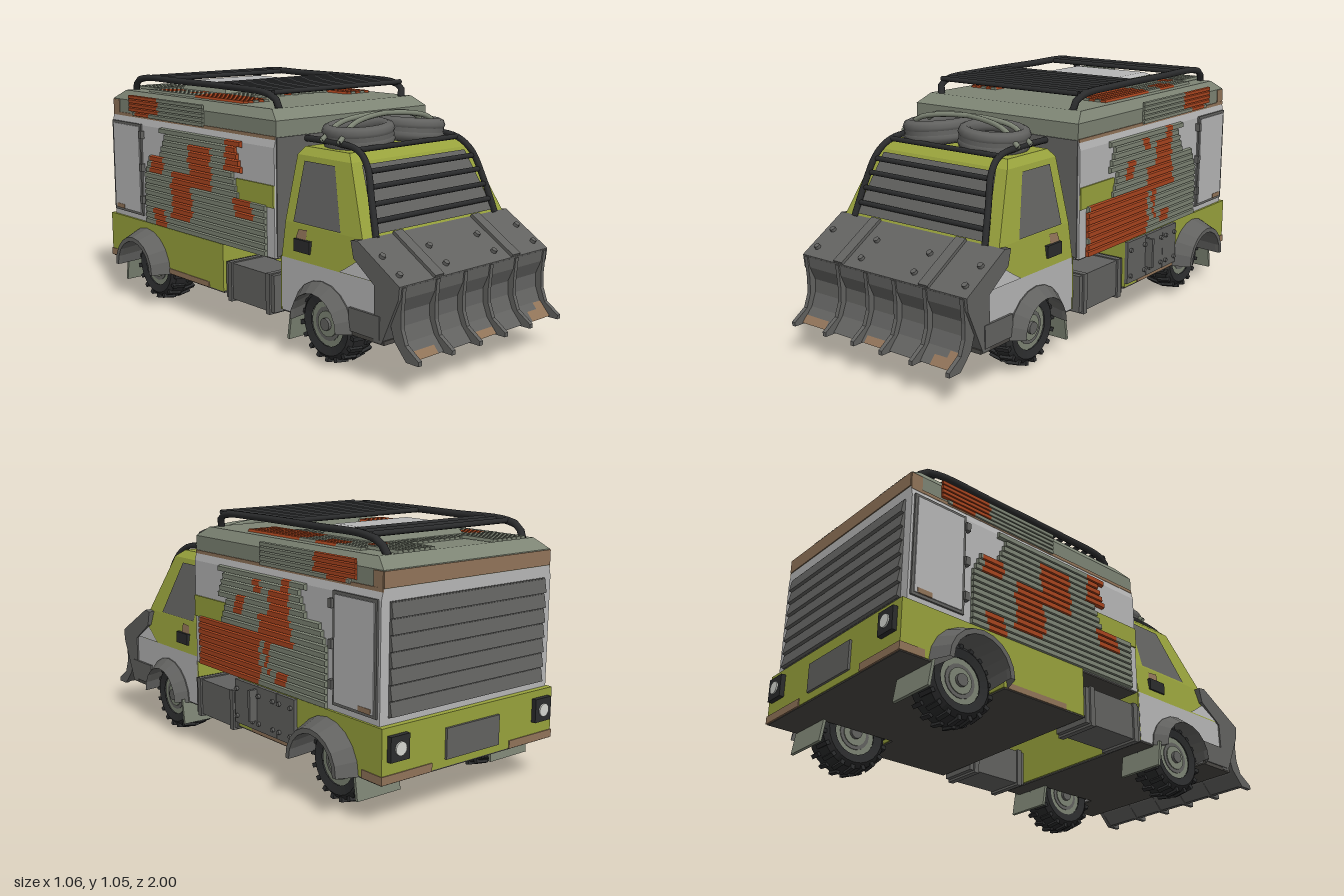
import * as THREE from 'three';
import { mergeGeometries } from 'three/addons/utils/BufferGeometryUtils.js';

export function createModel() {
  const root = new THREE.Group();
  root.name = 'armouredVan';
  const paint = (name, color) => Object.assign(new THREE.MeshStandardMaterial({ color, side: THREE.DoubleSide }), { name });
  const steel = paint('dark steel', 0x626260), black = paint('black rubber and tube', 0x2b2c2d);
  const green = paint('olive green', 0x98a23c), light = paint('light grey', 0xb6b6b6);
  const sage = paint('sage grey', 0x7d8474), rust = paint('rust', 0xa8441e);
  const brown = paint('bare brown', 0x917459), lamp = paint('lamp white', 0xd6d8d2);
  const under = paint('underbody grey', 0x4a4844);

  const add = (name, geo, mat, x = 0, y = 0, z = 0, parent = root) => {
    const m = new THREE.Mesh(geo, mat);
    m.name = name;
    m.position.set(x, y, z);
    parent.add(m);
    return m;
  };
  // box given by its limits
  const box = (name, mat, x0, x1, y0, y1, z0, z1, parent = root) =>
    add(name, new THREE.BoxGeometry(x1 - x0, y1 - y0, z1 - z0), mat, (x0 + x1) / 2, (y0 + y1) / 2, (z0 + z1) / 2, parent);
  const flat = (g) => { const f = g.index ? g.toNonIndexed() : g; f.computeVertexNormals(); return f; };
  // (z, y) outline swept from x0 to x1
  const sweep = (name, mat, shape, x0, x1) => {
    const s = Array.isArray(shape) ? new THREE.Shape(shape.map((p) => new THREE.Vector2(...p))) : shape;
    const g = new THREE.ExtrudeGeometry(s, { depth: x1 - x0, bevelEnabled: false, curveSegments: 16 });
    return add(name, g.rotateY(-Math.PI / 2).translate(x1, 0, 0), mat);
  };
  // stacked rectangles [y, halfWidth, zBack, zFront]
  const loft = (name, mat, secs) => {
    const pos = [], idx = [];
    secs.forEach(([y, w, a, b]) => pos.push(-w, y, b, w, y, b, w, y, a, -w, y, a));
    for (let i = 0; i < secs.length - 1; i++) for (let k = 0; k < 4; k++) {
      const p = i * 4 + k, q = i * 4 + (k + 1) % 4;
      idx.push(p, q, q + 4, p, q + 4, p + 4);
    }
    const t = (secs.length - 1) * 4;
    idx.push(t, t + 1, t + 2, t, t + 2, t + 3, 0, 2, 1, 0, 3, 2);
    const g = new THREE.BufferGeometry();
    g.setAttribute('position', new THREE.Float32BufferAttribute(pos, 3));
    g.setIndex(idx);
    return add(name, flat(g), mat);
  };
  const quad = (name, mat, pts) => {
    const g = new THREE.BufferGeometry();
    g.setAttribute('position', new THREE.Float32BufferAttribute(pts.flat(), 3));
    g.setIndex([0, 1, 2, 0, 2, 3]);
    return add(name, flat(g), mat);
  };
  const tube = (name, mat, pts, r = 0.013) => {
    const c = new THREE.CatmullRomCurve3(pts.map((p) => new THREE.Vector3(...p)));
    return add(name, new THREE.TubeGeometry(c, pts.length > 2 ? 28 : 1, r, 8), mat);
  };
  // corrugated sheet: rows [u, z0, z1], rust where a patch [u0, u1, z0, z1] covers
  const ridge = flat(new THREE.ExtrudeGeometry(new THREE.Shape([[-0.5, 0], [0.5, 0], [0.36, 1], [-0.36, 1]]
    .map((p) => new THREE.Vector2(...p))), { depth: 1, bevelEnabled: false }));
  const corrugated = (name, side, base, pitch, high, rows, patches) => {
    const bins = [[], []], step = 0.01;
    rows.forEach(([u, z0, z1], i) => {
      const jag = ((i * 7) % 5 - 2) * 0.005;
      const isRust = (z) => patches.some((p) => u > p[0] && u < p[1] && z + jag > p[2] && z + jag < p[3]) ? 1 : 0;
      for (let a = z0, b; a < z1 - 0.001; a = b) {
        const c = isRust(a + step / 2);
        for (b = a + step; b < z1 - 0.001 && isRust(b + step / 2) === c;) b += step;
        b = Math.min(b, z1);
        const g = ridge.clone().scale(pitch, high, b - a);
        if (side) g.rotateZ(-side * Math.PI / 2).translate(side * base, u, a);
        else g.translate(u, base, a);
        bins[c].push(g);
      }
    });
    bins.forEach((b, c) => b.length && add(name + (c ? 'Rust' : ''), mergeGeometries(b), c ? rust : sage));
  };
  const rows = (u0, u1, pitch, ends) => Array.from({ length: Math.round((u1 - u0) / pitch) }, (_, i) => {
    const u = u0 + (i + 0.5) * pitch;
    return [u, ...ends(u, i)];
  });

  // cab
  const archSide = (z0, z1, y0, y1, c, r) => {
    const s = new THREE.Shape();
    s.moveTo(z0, y0); s.lineTo(c - r, y0); s.absarc(c, y0, r, Math.PI, 0, true);
    s.lineTo(z1, y0); s.lineTo(z1, y1); s.lineTo(z0, y1); s.closePath();
    return s;
  };
  sweep('cabLower', light, archSide(0.265, 0.8, 0.17, 0.39, 0.505, 0.155), -0.425, 0.425);
  box('cabFloor', under, -0.26, 0.26, 0.164, 0.36, 0.27, 0.79);
  box('cabSill', under, -0.42, 0.42, 0.164, 0.172, 0.268, 0.35);
  box('cabBackPanel', green, -0.425, 0.425, 0.17, 0.39, 0.258, 0.264);
  loft('cabUpper', green, [[0.39, 0.425, 0.265, 0.8], [0.53, 0.405, 0.265, 0.7], [0.79, 0.34, 0.265, 0.57], [0.82, 0.31, 0.28, 0.53]]);
  quad('windscreen', steel, [[-0.345, 0.54, 0.702], [0.345, 0.54, 0.702], [0.295, 0.78, 0.582], [-0.295, 0.78, 0.582]]);
  const skin = (y) => 0.405 - (y - 0.53) * (y > 0.53 ? 0.25 : 0.143) + 0.004;
  for (const s of [1, -1]) {
    const p = (z, y) => [s * skin(y), y, z];
    quad('sideWindow', steel, [p(0.585, 0.535), p(0.316, 0.535), p(0.316, 0.77), p(0.49, 0.77)]);
    quad('lowerPaint', light, [p(0.79, 0.392), p(0.6, 0.392), p(0.63, 0.41), p(0.72, 0.47)]);
    quad('handleWear', brown, [p(0.4, 0.475), p(0.34, 0.475), p(0.35, 0.51), p(0.4, 0.515)]);
    box('doorHandle', black, s * 0.42 - 0.008, s * 0.42 + 0.008, 0.425, 0.475, 0.34, 0.43);
  }

  // armoured bonnet, cheeks and bumper
  sweep('bonnetArmour', steel, [[0.665, 0.525], [0.7, 0.53], [0.915, 0.4], [0.91, 0.35], [0.83, 0.17], [0.79, 0.17], [0.79, 0.38], [0.68, 0.46]], -0.432, 0.432);
  box('bumper', steel, -0.435, 0.435, 0.18, 0.27, 0.66, 0.82);
  box('bumperBottom', under, -0.43, 0.43, 0.164, 0.18, 0.665, 0.84);
  const slope = Math.atan2(0.13, 0.215);
  const onBonnet = (m, x, t) => { m.position.set(x, 0.53 - 0.13 * t, 0.7 + 0.215 * t); m.rotation.x = slope; };
  for (const s of [1, -1]) {
    onBonnet(add('bonnetStrip', new THREE.BoxGeometry(0.048, 0.025, 0.25), steel), s * 0.225, 0.5);
    for (const x of [0.14, 0.39]) for (const t of [0.4, 0.8])
      onBonnet(add('bonnetBolt', new THREE.CylinderGeometry(0.012, 0.014, 0.024, 8), steel), s * x, t);
  }

  // plough blade with ribs
  sweep('ploughBlade', steel, [[0.915, 0.395], [0.885, 0.3], [0.888, 0.24], [0.91, 0.185], [0.96, 0.13], [0.94, 0.13], [0.89, 0.18], [0.868, 0.24], [0.868, 0.3], [0.895, 0.395]], -0.41, 0.41);
  for (const x of [-0.41, -0.23, -0.075, 0.075, 0.23, 0.41])
    sweep('bladeRib', steel, [[0.92, 0.395], [0.912, 0.3], [0.914, 0.24], [0.935, 0.185], [1, 0.142], [1, 0.125], [0.94, 0.125], [0.88, 0.19], [0.86, 0.25], [0.89, 0.395]], x - 0.009, x + 0.009);
  for (const [a, b, t] of [[-0.4, -0.27, 0.5], [-0.05, 0.06, 0.45], [0.29, 0.35, 0.6], [0.35, 0.4, 1]])
    quad('bladeWear', brown, [[a, 0.131, 0.963], [b, 0.131, 0.963], [b, 0.131 + 0.054 * t, 0.963 - 0.049 * t], [a, 0.131 + 0.054 * t, 0.963 - 0.049 * t]]);

  // windscreen cage
  for (const s of [1, -1])
    tube('cageRail', black, [[s * 0.345, 0.53, 0.71], [s * 0.325, 0.66, 0.665], [s * 0.3, 0.78, 0.615], [s * 0.285, 0.83, 0.55], [s * 0.28, 0.845, 0.4], [s * 0.275, 0.845, 0.24]]);
  for (const [y, z, w] of [[0.585, 0.69, 0.335], [0.645, 0.67, 0.325], [0.705, 0.647, 0.315], [0.76, 0.623, 0.305], [0.832, 0.55, 0.29]])
    tube('cageBar', black, [[-w, y, z], [w, y, z]], 0.011);

  // wheels
  const tireGeo = flat(new THREE.LatheGeometry([[0.09, -0.06], [0.125, -0.068], [0.145, -0.05], [0.152, 0], [0.145, 0.05], [0.125, 0.068], [0.09, 0.06]]
    .map((p) => new THREE.Vector2(...p)), 24).rotateZ(-Math.PI / 2));
  const wheel = (x, z) => {
    const g = new THREE.Group();
    g.name = 'wheel';
    add('tire', tireGeo, black, 0, 0, 0, g);
    for (let i = 0; i < 36; i++) {
      const a = (i / 36) * Math.PI * 2, s = i % 2 ? 1 : -1;
      const l = add('treadLug', new THREE.BoxGeometry(0.06, 0.02, 0.017), black, s * 0.033, Math.cos(a) * 0.147, Math.sin(a) * 0.147, g);
      l.rotation.set(a, 0, -s * 0.15);
    }
    for (const [r, w, m] of [[0.092, 0.11, sage], [0.068, 0.116, steel], [0.052, 0.124, sage], [0.025, 0.15, steel]])
      add('rim', new THREE.CylinderGeometry(r, r, w, 18).rotateZ(Math.PI / 2), m, 0, 0, 0, g);
    g.position.set(x, 0.16, z);
    root.add(g);
  };
  // fenders and mud flaps
  const fender = (s, z, R, out) => {
    const g = new THREE.LatheGeometry([[R, 0.38], [R, 0.43], [R - 0.04, out], [0.13, out], [0.13, out - 0.02], [0.145, 0.38]]
      .map((p) => new THREE.Vector2(...p)), 10, Math.PI, Math.PI).rotateZ(-Math.PI / 2);
    add('fender', flat(g), steel, 0, 0.165, z).rotation.y = s > 0 ? 0 : Math.PI;
  };
  for (const s of [1, -1]) {
    wheel(s * 0.34, 0.505); wheel(s * 0.34, -0.67);
    fender(s, 0.505, 0.17, 0.48); fender(s, -0.67, 0.19, 0.53);
    for (const z of [0.345, -0.84]) {
      const f = add('mudFlap', new THREE.BoxGeometry(0.21, 0.11, 0.012), sage, s * 0.35, 0.125, z);
      f.rotation.x = 0.15;
    }
  }

  // rear chassis
  sweep('chassis', green, archSide(-0.975, -0.09, 0.17, 0.375, -0.67, 0.165), -0.45, 0.45);
  box('chassisFloor', under, -0.26, 0.26, 0.164, 0.36, -0.96, -0.095);
  box('chassisFloorFront', under, -0.448, 0.448, 0.164, 0.172, -0.5, -0.088);
  box('chassisFloorRear', under, -0.448, 0.448, 0.164, 0.172, -0.972, -0.838);
  box('sillWear', brown, -0.453, 0.453, 0.168, 0.192, -0.49, -0.19);
  for (const s of [1, -1]) {
    const c = s * 0.33;
    box('bumperWear', brown, c - 0.123, c + 0.123, 0.168, 0.2, -0.979, -0.87);
  }
  box('rearStep', steel, -0.14, 0.14, 0.2, 0.32, -0.985, -0.97);
  for (const s of [1, -1]) {
    const l = new THREE.Group();
    l.name = 'rearLight';
    box('lightHousing', black, -0.045, 0.045, 0.25, 0.345, -0.995, -0.97, l);
    add('lightLens', new THREE.CylinderGeometry(0.026, 0.026, 0.01, 16).rotateX(Math.PI / 2), lamp, 0, 0.297, -0.996, l);
    l.position.x = s * 0.38;
    root.add(l);
    // fuel tank
    const t = new THREE.Group();
    t.name = 'fuelTank';
    box('tankBody', steel, -0.085, 0.085, 0.15, 0.305, -0.075, 0.24, t);
    for (const z of [-0.055, 0.195]) box('tankStrap', steel, -0.093, 0.093, 0.14, 0.31, z, z + 0.025, t);
    t.position.x = s * 0.36;
    root.add(t);
  }
  // side armour plates
  for (const [a, b] of [[-0.238, -0.088], [-0.375, -0.24], [-0.49, -0.377]]) {
    box('sideArmour', steel, 0.45, 0.465, 0.188, 0.372, a, b);
    for (const z of [a + 0.02, b - 0.02]) for (const y of [0.22, 0.335])
      add('armourBolt', new THREE.CylinderGeometry(0.009, 0.009, 0.012, 6).rotateZ(Math.PI / 2), steel, 0.47, y, z);
  }
  box('armourRib', steel, 0.455, 0.5, 0.23, 0.36, -0.245, -0.23);

  // body and roof
  loft('body', light, [[0.375, 0.44, -0.95, 0.24], [0.82, 0.44, -0.95, 0.24], [0.86, 0.43, -0.95, 0.24]]);
  loft('roof', sage, [[0.86, 0.43, -0.95, 0.24], [0.925, 0.43, -0.95, 0.24], [0.965, 0.4, -0.89, 0.18]]);
  box('frontWall', steel, -0.43, 0.43, 0.38, 0.86, 0.239, 0.245);
  box('bodyFloor', under, -0.435, 0.435, 0.37, 0.376, -0.09, 0.235);
  box('roofRearTrim', brown, -0.43, 0.43, 0.862, 0.922, -0.954, -0.948);
  for (const s of [1, -1]) {
    box('roofSideTrim', brown, s * 0.431 - 0.003, s * 0.431 + 0.003, 0.85, 0.864, -0.95, 0.238);
    box('roofCornerTrim', brown, s * 0.43 - 0.003, s * 0.43 + 0.003, 0.862, 0.922, -0.95, -0.9);
  }
  box('shutterBacking', steel, -0.4, 0.4, 0.4, 0.815, -0.955, -0.948);
  for (let i = 0; i < 7; i++) {
    const y = 0.4 + i * 0.059;
    sweep('shutterSlat', steel, [[-0.95, y], [-0.968, y + 0.004], [-0.958, y + 0.057], [-0.95, y + 0.057]], -0.4, 0.4);
  }
  for (const s of [1, -1]) {
    const x = s * 0.443;
    box('greenPatch', green, x - 0.003, x + 0.003, 0.58, 0.67, 0, 0.239);
    const door = new THREE.Group();
    door.name = 'sideDoor';
    box('doorFrame', steel, -0.004, 0.004, 0.4, 0.825, -0.94, -0.7, door);
    box('doorPanel', light, -0.008, 0.008, 0.412, 0.813, -0.928, -0.712, door);
    box('doorWear', brown, -0.01, 0.01, 0.412, 0.432, -0.915, -0.85, door);
    for (const y of [0.46, 0.61, 0.76]) box('doorHinge', steel, -0.015, 0.015, y, y + 0.035, -0.705, -0.685, door);
    door.position.x = s * 0.445;
    root.add(door);
    // corrugated side sheets
    const ends = (u, i) => {
      const j = ((i * 5) % 4) * 0.012;
      return u < 0.58 ? [-0.665, 0.195] : u < 0.68 ? [-0.665 + j, 0.02 - j] : [-0.54 + j, 0.04 - j];
    };
    corrugated('sideSheet', s, 0.442, 0.0265, 0.015, rows(0.375, 0.825, 0.0265, ends), s > 0
      ? [[0.37, 0.585, -0.25, 0.2], [0.76, 0.84, -0.45, -0.4], [0.66, 0.77, -0.44, -0.31], [0.57, 0.67, -0.46, -0.25], [0.5, 0.57, -0.32, -0.28], [0.44, 0.5, -0.31, -0.29], [0.39, 0.45, -0.42, -0.35], [0.65, 0.71, -0.14, -0.08], [0.75, 0.81, -0.26, -0.21]]
      : [[0.42, 0.64, -0.45, -0.3], [0.6, 0.76, -0.32, -0.16], [0.38, 0.46, -0.6, -0.5], [0.7, 0.83, -0.06, 0.05], [0.5, 0.58, 0, 0.12], [0.62, 0.7, -0.62, -0.52]]);
    corrugated('roofSideSheet', s, 0.43, 0.019, 0.01, rows(0.855, 0.95, 0.019, (u) => [u > 0.88 ? -0.81 : -0.78, -0.235]), [[0.88, 0.96, -0.82, -0.57], [0.85, 0.89, -0.77, -0.66]]);
  }

  // corrugated roof sheets
  const roofRust = [[-0.37, -0.23, -0.4, -0.05], [0.23, 0.37, -0.4, -0.05], [-0.03, 0.03, -0.33, -0.2], [-0.34, -0.25, -0.7, -0.6], [0.27, 0.36, -0.62, -0.5], [0.2, 0.27, -0.75, -0.68], [-0.3, -0.22, -0.5, -0.46]];
  corrugated('roofSheet', 0, 0.965, 0.028, 0.01, rows(-0.364, 0.364, 0.028, (u, i) => Math.abs(u) > 0.23 ? [-0.75, -0.05] : [-0.75, -0.22 + (i % 3) * 0.02]), roofRust);
  for (const s of [1, -1])
    corrugated('rearRoofSheet', 0, 0.968, 0.026, 0.012, rows(s * 0.24 - 0.09, s * 0.24 + 0.09, 0.026, () => [-0.91, -0.75]), []);

  // roof hatch
  loft('hatchBase', sage, [[0.965, 0.228, -0.69, -0.35], [1.004, 0.208, -0.665, -0.375]]);
  loft('hatchLid', light, [[1.003, 0.206, -0.663, -0.377], [1.016, 0.185, -0.635, -0.4]]);

  // roof rack
  for (const s of [1, -1])
    tube('rackRail', black, [[s * 0.35, 0.96, 0.165], [s * 0.36, 1.0, 0.155], [s * 0.365, 1.02, 0.11], [s * 0.365, 1.028, -0.1], [s * 0.365, 1.028, -0.5], [s * 0.365, 1.025, -0.78], [s * 0.36, 1.005, -0.85], [s * 0.35, 0.96, -0.88]], 0.015);
  for (const z of [0.145, 0.1, 0.05, 0, -0.05, -0.1, -0.145, -0.19, -0.24, -0.285, -0.67, -0.73, -0.79])
    tube('rackBar', black, [[-0.365, 1.026, z], [0.365, 1.026, z]], 0.011);

  // spare tires and straps
  for (const s of [1, -1]) {
    const g = new THREE.Group();
    g.name = 'spareTire';
    for (const y of [-0.02, 0.022]) add('spareRing', new THREE.TorusGeometry(0.118, 0.028, 8, 24).rotateX(Math.PI / 2), steel, 0, y, 0, g);
    add('spareWall', new THREE.CylinderGeometry(0.141, 0.141, 0.06, 24, 1, true), steel, 0, 0.002, 0, g);
    g.position.set(s * 0.147, 0.865, 0.41);
    g.rotation.z = -s * 0.08;
    root.add(g);
    tube('strap', sage, [[-0.3, 0.85, 0.41 - s * 0.05], [-0.2, 0.918, 0.41 - s * 0.035], [0.2, 0.918, 0.41 + s * 0.03], [0.3, 0.85, 0.41 + s * 0.04]], 0.011);
  }
  return root;
}
